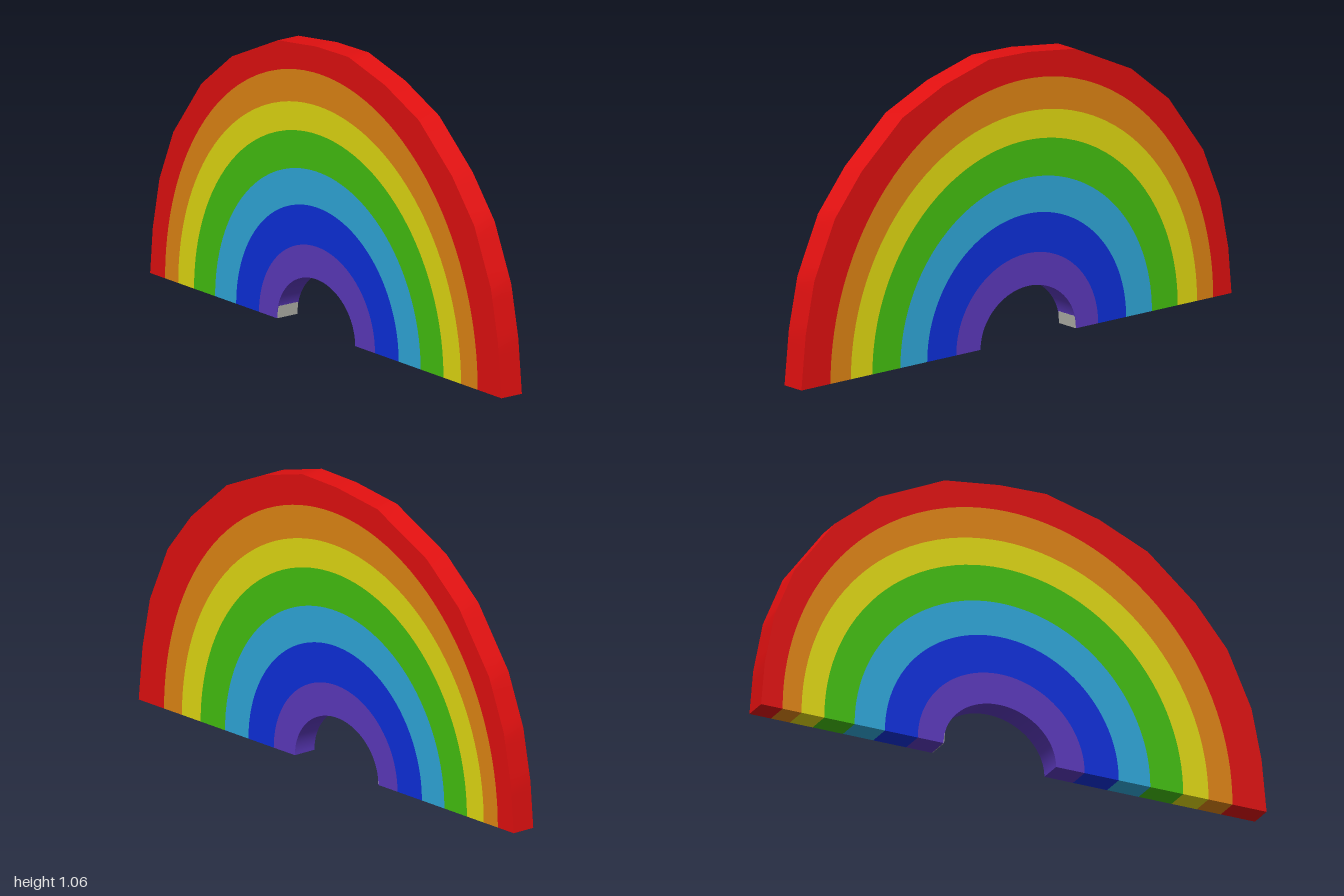
import * as THREE from 'three';
import { toCreasedNormals } from 'three/addons/utils/BufferGeometryUtils.js';

const HALF = 0.046; // half thickness of the slab
const SUB = 4; // subdivisions per rim facet

// Faceted outer rim, from the left foot over the top to the right foot
const RIM = [
  [1, 0], [0.98, 0.2], [0.94, 0.39], [0.845, 0.6], [0.72, 0.752], [0.53, 0.915],
  [0.337, 1.0], [0.128, 1.056], [-0.055, 1.052], [-0.273, 1.025], [-0.535, 0.905],
  [-0.708, 0.765], [-0.868, 0.55], [-0.947, 0.36], [-0.985, 0.17], [-1, 0],
];

// Inner edge of each colour band: right end x, left end x, top y
const BANDS = [
  ['red', 0xe31010, -0.915, 0.865, 0.955],
  ['orange', 0xe28714, -0.84, 0.77, 0.835],
  ['yellow', 0xe4dc12, -0.75, 0.67, 0.73],
  ['green', 0x45c310, -0.63, 0.54, 0.592],
  ['skyBlue', 0x30aadd, -0.51, 0.415, 0.46],
  ['blue', 0x0d30de, -0.38, 0.28, 0.315],
  ['violet', 0x5d3abf, -0.278, 0.167, 0.195],
];

function rimPoints() {
  const pts = [];
  for (let i = 0; i < RIM.length - 1; i++) {
    for (let k = 0; k < SUB; k++) {
      const t = k / SUB;
      pts.push([0, 1].map((c) => RIM[i][c] * (1 - t) + RIM[i + 1][c] * t));
    }
  }
  pts.push(RIM[RIM.length - 1]);
  return pts;
}

// Half ellipse with the same number of points as the rim
function archPoints(rim, x0, x1, top) {
  return rim.map(([x, y]) => {
    const a = Math.atan2(y / 1.055, x);
    return [(x0 + x1) / 2 + ((x1 - x0) / 2) * Math.cos(a), top * Math.sin(a)];
  });
}

// Strip between two arches: front, back, feet and, where exposed, the rim or hole wall
function bandGeometry(outer, inner, hasRim, hasHole) {
  const pos = [];
  const F = (p) => [p[0], p[1], HALF];
  const B = (p) => [p[0], p[1], -HALF];
  const quad = (a, b, c, d) => pos.push(...a, ...b, ...c, ...a, ...c, ...d);
  const n = outer.length - 1;
  for (let i = 0; i < n; i++) {
    const [o, p, q, r] = [outer[i], outer[i + 1], inner[i], inner[i + 1]];
    quad(F(q), F(o), F(p), F(r));
    quad(B(q), B(r), B(p), B(o));
    if (hasRim) quad(F(o), B(o), B(p), F(p));
    if (hasHole) quad(F(q), F(r), B(r), B(q));
  }
  quad(F(inner[0]), B(inner[0]), B(outer[0]), F(outer[0]));
  quad(F(inner[n]), F(outer[n]), B(outer[n]), B(inner[n]));
  const geo = new THREE.BufferGeometry();
  geo.setAttribute('position', new THREE.Float32BufferAttribute(pos, 3));
  return toCreasedNormals(geo, 0.6);
}

export function createModel() {
  const rainbow = new THREE.Group();
  rainbow.name = 'rainbow';

  const rim = rimPoints();
  let outer = rim;
  BANDS.forEach(([name, color, x0, x1, top], i) => {
    const inner = archPoints(rim, x0, x1, top);
    const material = new THREE.MeshStandardMaterial({ color });
    material.name = name;
    const geo = bandGeometry(outer, inner, i === 0, i === BANDS.length - 1);
    const mesh = new THREE.Mesh(geo, material);
    mesh.name = name + 'Band';
    rainbow.add(mesh);
    outer = inner;
  });

  // Small pale patch low on the hole wall of the right foot
  const pale = new THREE.MeshStandardMaterial({ color: 0xb4b4ac });
  pale.name = 'paleGrey';
  const patch = new THREE.Mesh(new THREE.BoxGeometry(0.008, 0.045, HALF * 1.9), pale);
  patch.name = 'footPatch';
  patch.position.set(-0.277, 0.0225, 0);
  patch.rotation.z = -0.08;
  patch.position.y += 0.001;
  rainbow.add(patch);

  return rainbow;
}
